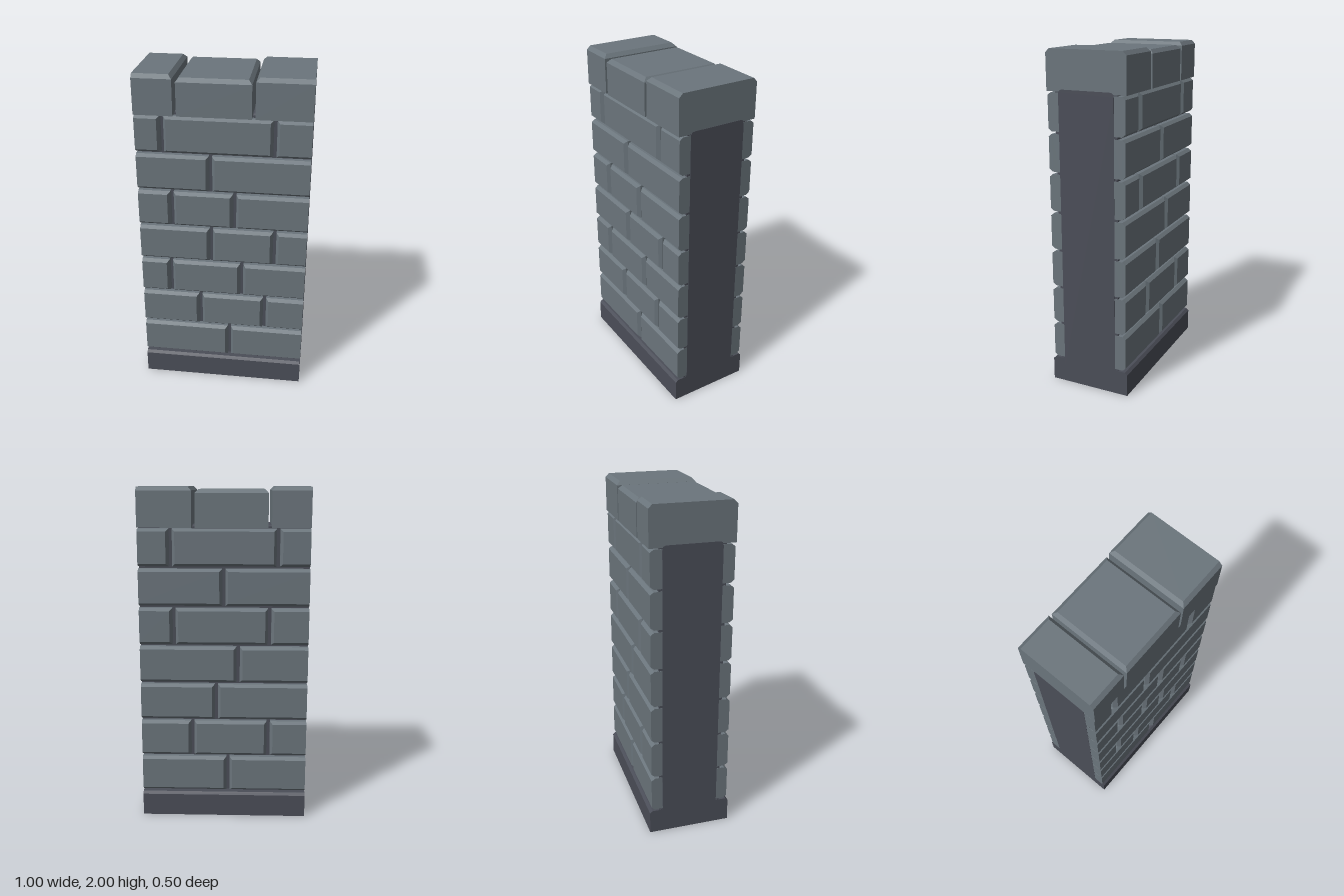
import * as THREE from 'three';

const stone = new THREE.MeshStandardMaterial({ color: 0x6b757c });
stone.name = 'greyStone';
const mortar = new THREE.MeshStandardMaterial({ color: 0x4b4e58 });
mortar.name = 'darkMortar';

const HALF = 0.5;      // half wall width
const GAP = 0.02;      // joint width
const BEVEL = 0.02;

// Block rising along +z from z0 to z1; the last bit tapers by an inset per side
function bevelBlock(x0, x1, y0, y1, z0, z1, inset, bevel = BEVEL) {
  const ring = (z, k) => [
    [x0 + inset.left * k, y0 + inset.bottom * k, z],
    [x1 - inset.right * k, y0 + inset.bottom * k, z],
    [x1 - inset.right * k, y1 - inset.top * k, z],
    [x0 + inset.left * k, y1 - inset.top * k, z],
  ];
  const rings = [ring(z0, 0), ring(z1 - bevel, 0), ring(z1, 1)];
  const pos = [];
  const quad = (a, b, c, d) => [a, b, c, a, c, d].forEach((p) => pos.push(...p));
  for (let r = 0; r < 2; r++) {
    for (let i = 0; i < 4; i++) {
      const j = (i + 1) % 4;
      quad(rings[r][i], rings[r][j], rings[r + 1][j], rings[r + 1][i]);
    }
  }
  quad(...rings[2]);
  quad(...[...rings[0]].reverse());
  const geo = new THREE.BufferGeometry();
  geo.setAttribute('position', new THREE.Float32BufferAttribute(pos, 3));
  geo.computeVertexNormals();
  return geo;
}

// Split the wall width at the joints; the outer ends stay flush
function spans(joints) {
  const cuts = [-HALF, ...joints, HALF];
  return cuts.slice(1).map((end, i) => {
    const first = i === 0, last = i === cuts.length - 2;
    return {
      x0: cuts[i] + (first ? 0 : GAP / 2),
      x1: end - (last ? 0 : GAP / 2),
      left: first ? 0 : BEVEL,
      right: last ? 0 : BEVEL,
    };
  });
}

function addMesh(parent, name, geo, mat) {
  const mesh = new THREE.Mesh(geo, mat);
  mesh.name = name;
  parent.add(mesh);
  return mesh;
}

// Joint positions per course from the bottom up, each seen facing its side
const FRONT = [[0.04], [-0.14, 0.26], [-0.32, 0.115], [-0.07, 0.31], [-0.3, 0.07], [-0.07], [-0.345, 0.295]];
const BACK = [[0.025], [-0.19, 0.27], [-0.045], [0.085], [-0.295, 0.27], [0], [-0.31, 0.315]];

function brickFace(name, courses) {
  const face = new THREE.Group();
  face.name = name;
  courses.forEach((joints, row) => {
    const y0 = 0.16 + row * 0.2312;
    for (const s of spans(joints)) {
      const inset = { left: s.left * 0.8, right: s.right * 0.8, top: 0.016, bottom: 0.016 };
      addMesh(face, 'brick', bevelBlock(s.x0, s.x1, y0, y0 + 0.217, 0.165, 0.238, inset), stone);
    }
  });
  return face;
}

export function createModel() {
  const wall = new THREE.Group();
  wall.name = 'brickWall';

  // Plinth with a bevelled upper edge
  const plinth = bevelBlock(-HALF, HALF, -0.249, 0.249, 0, 0.15, { left: 0, right: 0, top: 0.015, bottom: 0.015 }, 0.015);
  addMesh(wall, 'plinth', plinth.rotateX(-Math.PI / 2), mortar);

  // Core with rounded upper corners, showing at both ends
  const w = 0.17, top = 1.782, r = 0.025;
  const outline = new THREE.Shape();
  outline.moveTo(-w, 0.1);
  outline.lineTo(w, 0.1);
  outline.lineTo(w, top - r);
  outline.quadraticCurveTo(w, top, w - r, top);
  outline.lineTo(-w + r, top);
  outline.quadraticCurveTo(-w, top, -w, top - r);
  const width = 2 * HALF + 0.002;
  const core = new THREE.ExtrudeGeometry(outline, { depth: width, bevelEnabled: false, curveSegments: 4 });
  core.translate(0, 0, -width / 2).rotateY(Math.PI / 2);
  addMesh(wall, 'core', core, mortar);

  // Mortar bed behind the brick joints
  const bed = new THREE.BoxGeometry(2 * HALF - 0.004, 1.67, 0.38);
  addMesh(wall, 'mortarBed', bed.translate(0, 0.94, 0), mortar);

  // Bricks on both faces
  wall.add(brickFace('frontBricks', FRONT));
  const back = brickFace('backBricks', BACK);
  back.rotation.y = Math.PI;
  wall.add(back);

  // Coping stones, the middle one slightly lower
  spans([-0.265, 0.175]).forEach((s, i) => {
    const inset = { left: s.left, right: s.right, top: 0.022, bottom: 0.022 };
    const height = i === 1 ? 1.985 : 2;
    const geo = bevelBlock(s.x0, s.x1, -0.244, 0.244, 1.77, height, inset, 0.022);
    addMesh(wall, 'copingStone', geo.rotateX(-Math.PI / 2), stone);
  });

  return wall;
}
